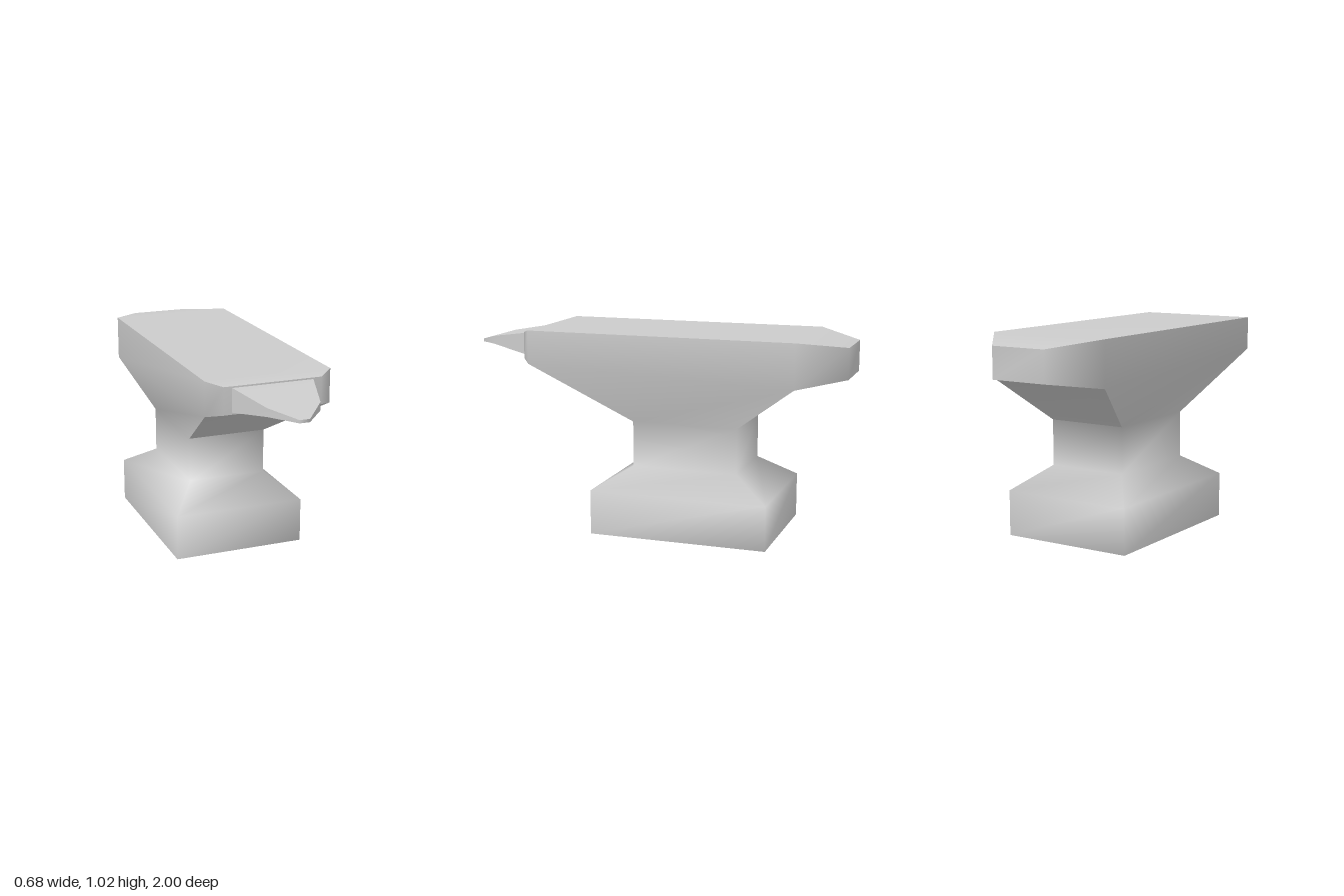
import * as THREE from 'three';
import { mergeVertices } from 'three/addons/utils/BufferGeometryUtils.js';

const material = new THREE.MeshStandardMaterial({ color: 0xcccccc });

// Triangles of a grid of points: rows run "up", columns run "right" as seen from outside.
function grid(rows, closed = false) {
  const out = [];
  const n = rows[0].length;
  for (let i = 0; i < rows.length - 1; i++) {
    for (let j = 0; j < (closed ? n : n - 1); j++) {
      const k = (j + 1) % n;
      const [a, b, c, d] = [rows[i][j], rows[i][k], rows[i + 1][k], rows[i + 1][j]];
      out.push(...a, ...b, ...c, ...a, ...c, ...d);
    }
  }
  return out;
}

// One smooth-shaded mesh; edges between separate meshes stay sharp.
function smoothMesh(name, ...patches) {
  const geometry = new THREE.BufferGeometry();
  geometry.setAttribute('position', new THREE.Float32BufferAttribute(patches.flat(), 3));
  const merged = mergeVertices(geometry, 1e-4);
  merged.computeVertexNormals();
  const mesh = new THREE.Mesh(merged, material);
  mesh.name = name;
  return mesh;
}

// A left-right pair of points, and a rectangular ring.
const pair = ([x, y, z]) => [[-x, y, z], [x, y, z]];
const ring = (x, y, zFront, zBack) => [...pair([x, y, zFront]), ...pair([x, y, zBack]).reverse()];
const mirror = ([x, y, z]) => [-x, y, z];

// A strip on the +x side and its mirror image; columns run from front to back.
function bothSides(rows) {
  const left = rows.map((row) => row.map(mirror).reverse());
  return [...grid(rows), ...grid(left)];
}

export function createModel() {
  const anvil = new THREE.Group();
  anvil.name = 'anvil';

  // Half outlines of the head, front to back
  const top = [[0.245, 1.005, 0.655], [0.317, 1.025, 0.6], [0.317, 1.025, -0.775], [0.145, 0.99, -1]];
  const low = [[0.245, 0.87, 0.655], [0.317, 0.855, 0.6], [0.317, 0.8, -0.775], [0.145, 0.835, -1]];
  const fullRing = (half) => [...half, ...half.map(mirror).reverse()];
  const neckFront = [0.205, 0.57, 0.075];
  const neckBack = [0.205, 0.57, -0.47];

  // Foot, waist and head walls flow into each other
  anvil.add(smoothMesh('footWaistAndHeadSides',
    grid([
      ring(0.34, 0, 0.258, -0.655),
      ring(0.34, 0.228, 0.258, -0.655),
      ring(0.205, 0.34, 0.075, -0.47),
      ring(0.205, 0.57, 0.075, -0.47),
    ], true),
    bothSides([[neckFront, neckBack], [low[1], low[2]]]),
    grid([fullRing(low), fullRing(top)], true)));

  // Flat working face with dropped ends
  anvil.add(smoothMesh('workingFace', grid(top.map(pair))));

  // Sloping undersides and the sole of the foot
  anvil.add(smoothMesh('frontUnderside', grid([neckFront, low[1], low[0]].map(pair))));
  anvil.add(smoothMesh('heelUnderside', grid([low[3], low[2], neckBack].map(pair))));
  anvil.add(smoothMesh('sole', grid([[0.34, 0, -0.655], [0.34, 0, 0.258]].map(pair))));

  // Tapering horn, tip to root
  const hornTop = [[0.025, 0.927, 1], [0.13, 0.96, 0.885], [0.205, 0.998, 0.65]];
  const hornLow = [[0.025, 0.912, 1], [0.13, 0.919, 0.885], [0.205, 0.879, 0.65]];
  const horn = new THREE.Group();
  horn.name = 'horn';
  horn.add(smoothMesh('hornTop', grid(hornTop.map(pair))));
  horn.add(smoothMesh('hornBottom', grid(hornLow.map(pair).reverse())));
  horn.add(smoothMesh('hornSides', bothSides([hornLow, hornTop]),
    grid([pair(hornLow[0]), pair(hornTop[0])])));
  anvil.add(horn);

  return anvil;
}
